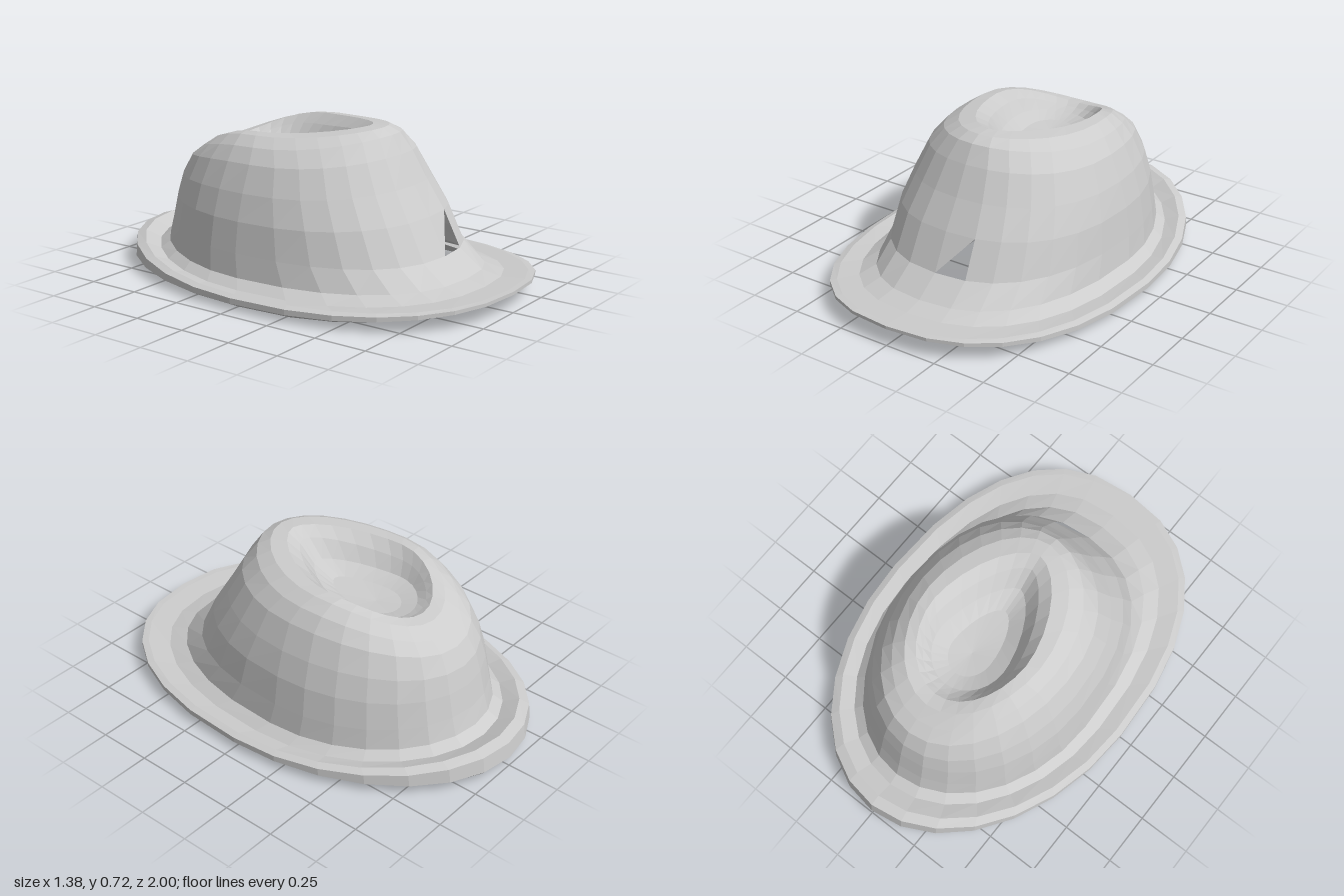
import * as THREE from 'three';

const SEGMENTS = 28;

// Each ring: [front z, back z, z of widest point, half width, front y, side y, back y, front fullness]
const underBrim = [
  [0.72, -0.78, -0.08, 0.52, 0.11, 0.08, 0.12, 2.4],
  [0.84, -0.88, -0.03, 0.58, 0.085, 0.02, 0.06, 2.4],
  [0.95, -0.98, 0, 0.63, 0.08, 0.005, 0.025, 2.4],
  [1.0, -1.0, 0, 0.69, 0.085, 0.035, 0.05, 2.4],
];
const upperBrim = [
  [1.0, -1.0, 0, 0.69, 0.085, 0.035, 0.05, 2.4],
  [1.0, -0.99, 0, 0.69, 0.1, 0.06, 0.125, 2.4],
  [0.97, -0.94, 0, 0.66, 0.1, 0.07, 0.14, 2.4],
  [0.86, -0.86, -0.04, 0.59, 0.095, 0.06, 0.105, 2.4],
  [0.77, -0.81, -0.08, 0.54, 0.115, 0.095, 0.135, 2.4],
];
const crown = [
  [0.77, -0.81, -0.08, 0.54, 0.115, 0.095, 0.135, 2.4],
  [0.655, -0.785, -0.1, 0.525, 0.195, 0.2, 0.22, 2.4],
  [0.57, -0.76, -0.1, 0.505, 0.36, 0.34, 0.33, 2.4],
  [0.49, -0.735, -0.1, 0.47, 0.49, 0.46, 0.42, 2.3],
  [0.42, -0.69, -0.1, 0.42, 0.62, 0.58, 0.5, 2.2],
  [0.37, -0.63, -0.12, 0.37, 0.7, 0.645, 0.54, 2],
  [0.32, -0.56, -0.15, 0.31, 0.727, 0.685, 0.58, 1.9],
  [0.25, -0.5, -0.18, 0.255, 0.728, 0.69, 0.59, 1.7],
];
const dent = [
  [0.25, -0.5, -0.18, 0.255, 0.728, 0.69, 0.59, 1.7],
  [0.19, -0.47, -0.22, 0.215, 0.69, 0.64, 0.575, 1.6],
  [0.11, -0.43, -0.24, 0.175, 0.61, 0.58, 0.56, 1.6],
  [0, -0.36, -0.24, 0.1, 0.56, 0.55, 0.545, 1.8],
  [-0.24, -0.24, -0.24, 0, 0.54, 0.54, 0.54, 2],
];

// Point on a ring, starting at the front and turning towards the left side
function ringPoint([zf, zb, zm, width, yf, ys, yb, fullness], j) {
  const a = ((j % SEGMENTS) / SEGMENTS) * Math.PI * 2;
  const c = Math.cos(a), s = Math.sin(a);
  const front = c > 0;
  const power = 2 / (front ? fullness : 2);
  const x = width * Math.sign(s) * Math.abs(s) ** power;
  const z = zm + ((front ? zf : zb) - zm) * Math.abs(c) ** power;
  const y = ys + ((front ? yf : yb) - ys) * c * c;
  return [x, y, z];
}

// Skin a list of rings; isGap leaves out chosen triangles
function loft(name, rings, material, isGap = () => false) {
  const positions = [];
  for (let i = 0; i < rings.length - 1; i++) {
    for (let j = 0; j < SEGMENTS; j++) {
      const a = ringPoint(rings[i], j), b = ringPoint(rings[i], j + 1);
      const c = ringPoint(rings[i + 1], j + 1), d = ringPoint(rings[i + 1], j);
      if (!isGap(i, j)) positions.push(...a, ...b, ...c);
      if (rings[i + 1][3] > 0) positions.push(...a, ...c, ...d);
    }
  }
  const geometry = new THREE.BufferGeometry();
  geometry.setAttribute('position', new THREE.Float32BufferAttribute(positions, 3));
  geometry.computeVertexNormals();
  const mesh = new THREE.Mesh(geometry, material);
  mesh.name = name;
  return mesh;
}

export function createModel() {
  const felt = new THREE.MeshStandardMaterial({
    color: 0xcccccc, flatShading: true, side: THREE.DoubleSide,
  });
  const hat = new THREE.Group();
  hat.name = 'hat';
  hat.add(
    loft('brimUnderside', underBrim, felt),
    loft('brimTop', upperBrim, felt),
    // The crown has a triangular hole low at the front
    loft('crown', crown, felt, (i, j) => i === 1 && j === 0),
    loft('crownDent', dent, felt),
  );
  return hat;
}
